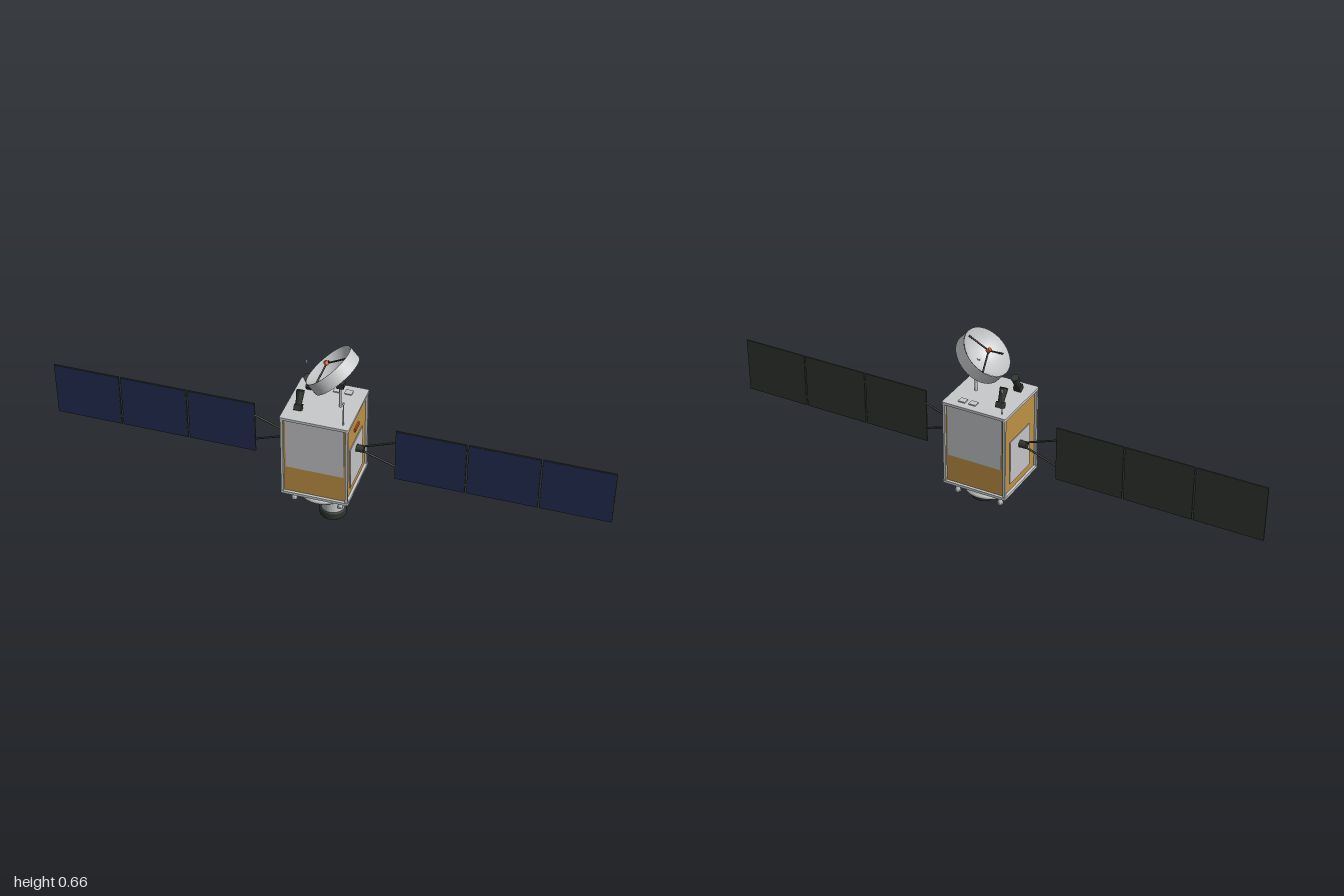
import * as THREE from 'three';

const mat = (name, color, side = THREE.FrontSide) => {
  const m = new THREE.MeshStandardMaterial({ color, side });
  m.name = name;
  return m;
};

export function createModel() {
  const model = new THREE.Group();
  const gold = mat('gold foil', 0xbe9144);
  const frame = mat('light grey metal', 0xc8cacb, THREE.DoubleSide);
  const radiator = mat('pale radiator', 0xc4c5c7);
  const dark = mat('dark graphite', 0x2f352f, THREE.DoubleSide);
  const navy = mat('navy solar cells', 0x202b50);
  const orange = mat('orange', 0xcc5c25);

  const add = (name, geo, material, x = 0, y = 0, z = 0, parent = model) => {
    const m = new THREE.Mesh(geo, material);
    m.name = name;
    m.position.set(x, y, z);
    parent.add(m);
    return m;
  };
  const box = (name, w, h, d, material, x, y, z, parent) =>
    add(name, new THREE.BoxGeometry(w, h, d), material, x, y, z, parent);
  const cyl = (name, rTop, rBottom, h, material, x, y, z, parent, sides = 24) =>
    add(name, new THREE.CylinderGeometry(rTop, rBottom, h, sides), material, x, y, z, parent);
  const lathe = (name, pts, material, x, y, z, parent) =>
    add(name, new THREE.LatheGeometry(pts.map(p => new THREE.Vector2(...p)), 48), material, x, y, z, parent);
  // straight rod between two points
  const rod = (name, a, b, r, material, parent = model) => {
    const p = new THREE.Vector3(...a), q = new THREE.Vector3(...b);
    const m = cyl(name, r, r, p.distanceTo(q), material, 0, 0, 0, parent, 8);
    m.position.copy(p).add(q).multiplyScalar(0.5);
    m.quaternion.setFromUnitVectors(new THREE.Vector3(0, 1, 0), q.sub(p).normalize());
    return m;
  };
  // flat plate with softened corners, facing +z
  const plate = (w, h, r, t) => {
    const s = new THREE.Shape();
    const x = w / 2, y = h / 2;
    s.moveTo(-x + r, -y);
    s.lineTo(x - r, -y).quadraticCurveTo(x, -y, x, -y + r);
    s.lineTo(x, y - r).quadraticCurveTo(x, y, x - r, y);
    s.lineTo(-x + r, y).quadraticCurveTo(-x, y, -x, y - r);
    s.lineTo(-x, -y + r).quadraticCurveTo(-x, -y, -x + r, -y);
    return new THREE.ExtrudeGeometry(s, { depth: t, bevelEnabled: false, curveSegments: 4 });
  };

  // Body: foil box, end plates, corner posts
  box('foilBody', 0.222, 0.31, 0.222, gold, 0, 0.275, 0);
  for (const y of [0.118, 0.432]) {
    const p = add('endPlate', plate(0.242, 0.242, 0.004, 0.01), frame, 0, y + 0.005, 0);
    p.rotation.x = Math.PI / 2;
  }
  for (const x of [-1, 1]) for (const z of [-1, 1])
    box('cornerPost', 0.009, 0.305, 0.009, frame, x * 0.1145, 0.275, z * 0.1145);

  // Radiators on all four sides
  for (const side of [0, 1]) {
    const large = add('largeRadiator', plate(0.206, 0.198, 0.002, 0.004), radiator,
      0, 0.327, side ? -0.1105 : 0.1105);
    large.rotation.y = side * Math.PI;
    const small = add('smallRadiator', plate(0.142, 0.167, 0.004, 0.004), radiator,
      side ? -0.1105 : 0.1105, 0.2335, 0);
    small.rotation.y = side ? -Math.PI / 2 : Math.PI / 2;
  }
  box('orangeMarker', 0.006, 0.012, 0.046, orange, 0.113, 0.364, 0);

  // Solar wings, mirrored left and right
  for (const s of [-1, 1]) {
    const wing = new THREE.Group();
    wing.name = s > 0 ? 'leftWing' : 'rightWing';
    model.add(wing);
    const hub = cyl('wingHub', 0.0135, 0.0135, 0.03, dark, s * 0.126, 0.275, 0, wing, 10);
    hub.rotation.z = Math.PI / 2;
    for (const v of [-1, 1])
      rod('wingStrut', [s * 0.135, 0.276 + v * 0.009, 0], [s * 0.255, 0.278 + v * 0.052, 0], 0.0035, dark, wing);
    for (let i = 0; i < 3; i++) {
      const x = s * (0.374 + i * 0.2515);
      box('solarPanel', 0.246, 0.204, 0.005, dark, x, 0.277, 0, wing);
      box('solarCells', 0.241, 0.199, 0.001, navy, x, 0.277, 0.0028, wing);
      if (i < 2) for (const y of [0.21, 0.345])
        box('panelHinge', 0.012, 0.012, 0.005, dark, x + s * 0.12575, y, 0, wing);
    }
  }

  // Dish: shroud ring with a bowl inside, tilted toward -x
  const dish = new THREE.Group();
  dish.name = 'dishAntenna';
  dish.position.set(0.012, 0.598, 0);
  dish.rotation.z = 0.725;
  model.add(dish);
  const bowl = r => 0.05 * ((r / 0.094) ** 2 - 1);
  lathe('dishShroud', [[0.095, -0.048], [0.095, 0]], frame, 0, 0, 0, dish);
  lathe('dishBowl', Array.from({ length: 13 }, (_, i) => {
    const r = Math.max(0.0001, 0.0945 * i / 12);
    return [r, bowl(r)];
  }), frame, 0, 0, 0, dish);
  cyl('feedHorn', 0.007, 0.009, 0.014, orange, 0, 0.01, 0, dish, 12);
  for (let i = 0; i < 3; i++) {
    const a = i * Math.PI * 2 / 3;
    rod('feedStrut', [0, 0.008, 0], [0.08 * Math.cos(a), bowl(0.08), 0.08 * Math.sin(a)], 0.003, dark, dish);
  }
  cyl('dishMast', 0.005, 0.005, 0.09, frame, 0.056, 0.477, 0, model, 12);
  box('dishBracket', 0.026, 0.019, 0.026, dark, 0.056, 0.5275, 0);
  rod('dishNeck', [0.056, 0.53, 0], [0.045, 0.563, 0], 0.006, frame);

  // Star trackers leaning inward
  for (const s of [-1, 1]) {
    const tracker = new THREE.Group();
    tracker.name = 'starTracker';
    tracker.position.set(-0.072, 0.451, s * 0.064);
    tracker.rotation.x = -s * 0.46;
    model.add(tracker);
    box('trackerBase', 0.026, 0.02, 0.024, dark, 0, 0, 0, tracker);
    cyl('trackerBaffle', 0.0145, 0.0105, 0.048, dark, 0, 0.034, 0, tracker, 16);
  }

  // Whip antennas on opposite corners, and small roof tiles
  for (const s of [-1, 1]) {
    cyl('whipAntenna', 0.002, 0.002, 0.09, frame, s * 0.095, 0.48, s * 0.095, model, 8);
    cyl('antennaTip', 0.0038, 0.0038, 0.006, frame, s * 0.095, 0.525, s * 0.095, model, 8);
  }
  for (const x of [0.02, 0.06])
    box('roofTile', 0.026, 0.004, 0.024, frame, x, 0.439, -0.082);

  // Underside: hollow adapter ring, four feet, telescope
  lathe('adapterRing', [[0.083, 0.114], [0.083, 0.104], [0.077, 0.1], [0.077, 0.087],
    [0.089, 0.078], [0.091, 0.069], [0.083, 0.069], [0.072, 0.085], [0.072, 0.114]], frame);
  for (const x of [-1, 1]) for (const z of [-1, 1]) {
    cyl('footMount', 0.01, 0.01, 0.012, frame, x * 0.083, 0.107, z * 0.083, model, 12);
    cyl('footCone', 0.004, 0.0095, 0.027, frame, x * 0.083, 0.0885, z * 0.083, model, 16);
    cyl('footPad', 0.0105, 0.0105, 0.006, frame, x * 0.083, 0.072, z * 0.083, model, 16);
  }
  cyl('telescopeTube', 0.041, 0.041, 0.09, frame, 0.041, 0.07, 0.032, model, 40);
  lathe('telescopeHood', [[0.041, 0.027], [0.046, 0.027], [0.048, 0.024], [0.048, 0.002],
    [0.047, 0], [0.039, 0], [0.039, 0.022], [0.0001, 0.022]], dark, 0.041, 0, 0.032);

  return model;
}
